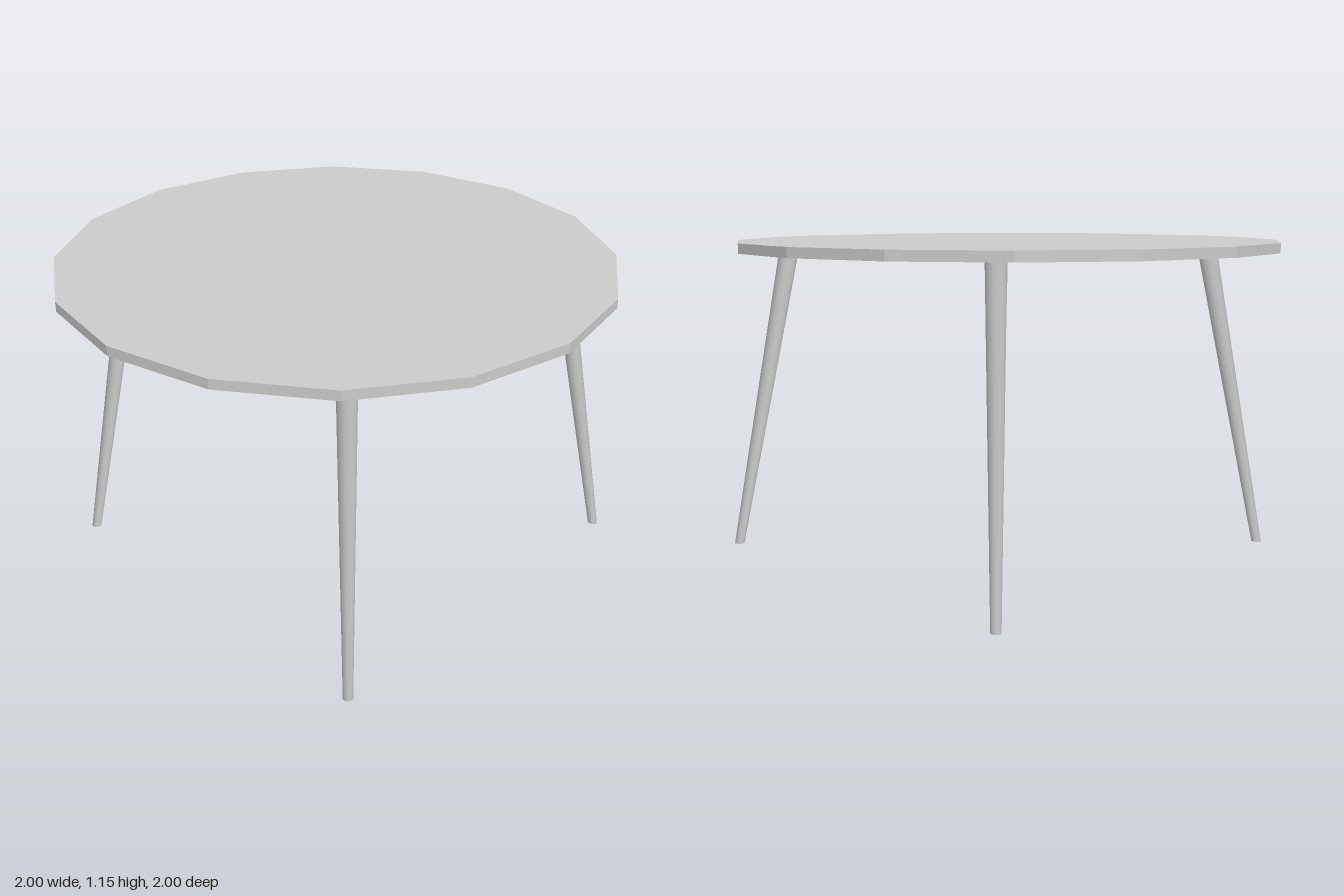
import * as THREE from 'three';

const TOP_Y = 1.155;
const THICKNESS = 0.035;
const UNDERSIDE = TOP_Y - THICKNESS;

// Tapered round leg, sheared so both ends stay horizontal
function makeLeg(name, foot, head, material) {
  const geometry = new THREE.CylinderGeometry(0.036, 0.018, UNDERSIDE, 12);
  geometry.translate(0, UNDERSIDE / 2, 0);
  const p = geometry.attributes.position;
  for (let i = 0; i < p.count; i++) {
    const t = p.getY(i) / UNDERSIDE;
    p.setX(i, p.getX(i) + THREE.MathUtils.lerp(foot[0], head[0], t));
    p.setZ(i, p.getZ(i) + THREE.MathUtils.lerp(foot[1], head[1], t));
  }
  geometry.computeBoundingSphere();
  const leg = new THREE.Mesh(geometry, material);
  leg.name = name;
  return leg;
}

export function createModel() {
  const group = new THREE.Group();
  group.name = 'roundTable';
  const material = new THREE.MeshStandardMaterial({ color: 0xcccccc });
  const facetedMaterial = new THREE.MeshStandardMaterial({ color: 0xcccccc, flatShading: true });

  // Sixteen-sided tabletop
  const top = new THREE.Mesh(new THREE.CylinderGeometry(1, 1, THICKNESS, 16), facetedMaterial);
  top.name = 'tabletop';
  top.position.y = TOP_Y - THICKNESS / 2;
  group.add(top);

  // Splayed legs: [name, foot x/z, head x/z]
  const legs = [
    ['frontLeftLeg', [0.725, 0.688], [0.572, 0.541]],
    ['frontRightLeg', [-0.682, 0.672], [-0.526, 0.521]],
    ['backLeftLeg', [0.73, -0.73], [0.573, -0.575]],
    ['backRightLeg', [-0.675, -0.754], [-0.521, -0.595]],
  ];
  for (const [name, foot, head] of legs) group.add(makeLeg(name, foot, head, material));

  return group;
}
